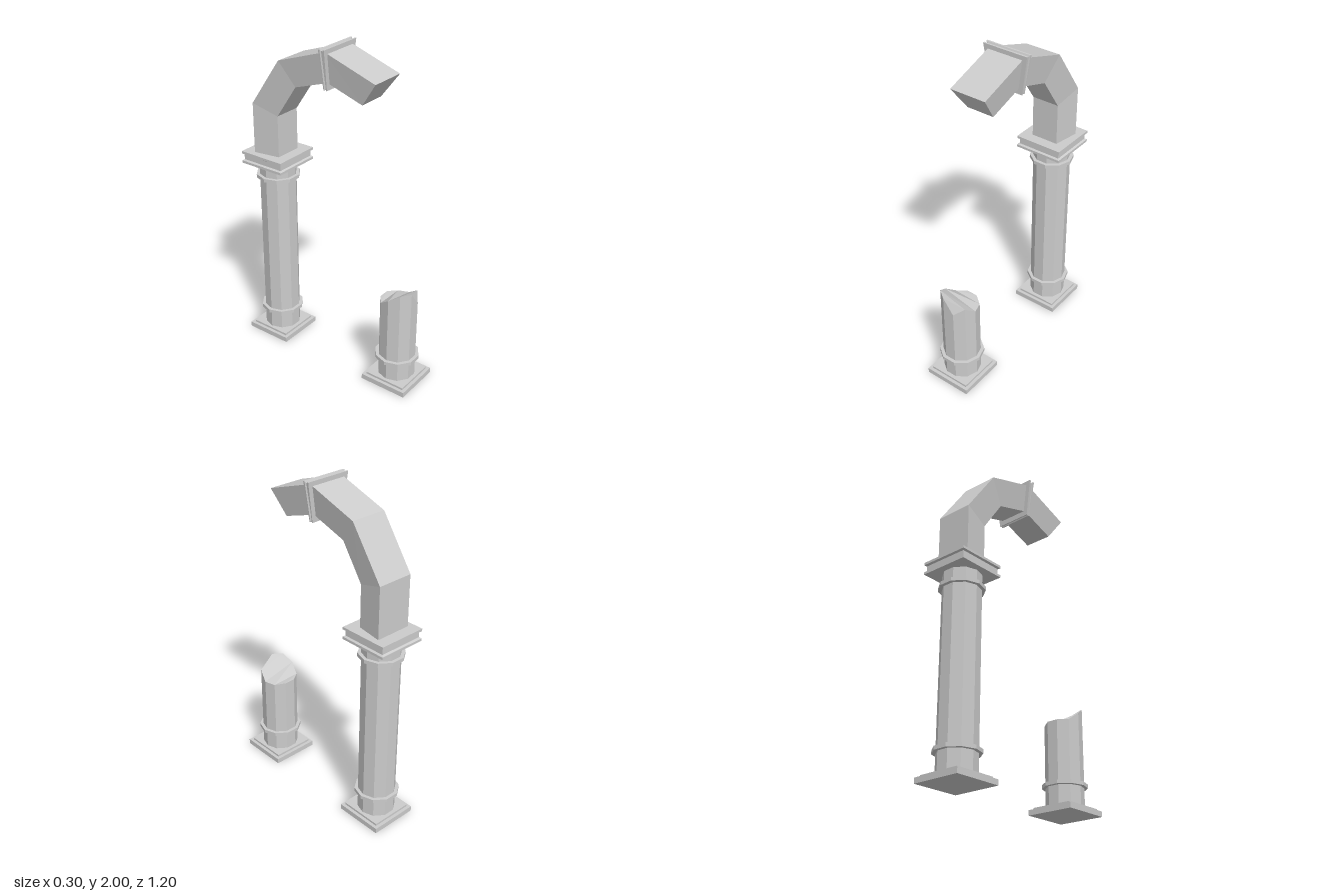
import * as THREE from 'three';

const material = new THREE.MeshStandardMaterial({ color: 0xcccccc, flatShading: true });
const SHAFT_R = 0.113, RING_R = 0.134, COLUMN_Z = 0.45;

// Skins a list of equal-length point loops (counter-clockwise about the direction of travel).
// capTop may supply index triples for the last loop; otherwise both ends get fans.
function loft(name, loops, capTop) {
  const pos = [];
  const tri = (...pts) => pts.forEach(p => pos.push(...p));
  const n = loops[0].length;
  for (let s = 0; s + 1 < loops.length; s++) {
    const A = loops[s], B = loops[s + 1];
    for (let i = 0; i < n; i++) {
      const j = (i + 1) % n;
      tri(A[i], A[j], B[j]);
      tri(A[i], B[j], B[i]);
    }
  }
  const first = loops[0], last = loops[loops.length - 1];
  for (let i = 1; i + 1 < n; i++) {
    tri(first[0], first[i + 1], first[i]);
    if (!capTop) tri(last[0], last[i], last[i + 1]);
  }
  if (capTop) capTop.forEach(t => tri(...t.map(k => last[k])));
  const geo = new THREE.BufferGeometry();
  geo.setAttribute('position', new THREE.Float32BufferAttribute(pos, 3));
  geo.computeVertexNormals();
  const mesh = new THREE.Mesh(geo, material);
  mesh.name = name;
  return mesh;
}

// Ten-sided loop; y may vary per corner
function decagon(r, y) {
  return Array.from({ length: 10 }, (_, k) => {
    const a = k * Math.PI / 5;
    return [r * Math.cos(a), Array.isArray(y) ? y[k] : y, -r * Math.sin(a)];
  });
}

const square = (h, y) => [[h, y, h], [h, y, -h], [-h, y, -h], [-h, y, h]];

function slab(name, half, y0, y1) {
  return loft(name, [square(half, y0), square(half, y1)]);
}

function ring(name, y0, y1) {
  return loft(name, [decagon(RING_R, y0), decagon(RING_R, y1)]);
}

// Stepped square base and lower ring, shared by both columns
function columnBase() {
  const g = new THREE.Group();
  g.name = 'columnBase';
  g.add(slab('plinth', 0.15, 0, 0.032));
  g.add(slab('plinthStep', 0.13, 0.032, 0.045));
  g.add(ring('lowerRing', 0.16, 0.182));
  return g;
}

function tallColumn() {
  const g = new THREE.Group();
  g.name = 'tallColumn';
  g.add(columnBase());
  g.add(loft('shaft', [decagon(SHAFT_R, 0.045), decagon(SHAFT_R, 1.19)]));
  g.add(ring('upperRing', 1.096, 1.118));
  // capital with a groove around its waist
  const profile = [[0.151, 1.19], [0.151, 1.205], [0.14, 1.212], [0.14, 1.243], [0.151, 1.25], [0.151, 1.265]];
  g.add(loft('capital', profile.map(([h, y]) => square(h, y))));
  g.position.z = -COLUMN_Z;
  return g;
}

function brokenColumn() {
  const g = new THREE.Group();
  g.name = 'brokenColumn';
  g.add(columnBase());
  const breakHeights = [0.545, 0.542, 0.55, 0.55, 0.55, 0.60, 0.645, 0.645, 0.55, 0.595];
  // the fracture runs across in strips from front to back
  const cap = [];
  for (let i = 0; i < 4; i++) {
    const r0 = (8 + i) % 10, r1 = (9 + i) % 10, l0 = 7 - i, l1 = 6 - i;
    cap.push([l0, r0, r1], [l0, r1, l1]);
  }
  g.add(loft('brokenShaft', [decagon(SHAFT_R, 0.045), decagon(SHAFT_R, breakHeights)], cap));
  g.position.z = COLUMN_Z;
  return g;
}

// Arch: a beam wider on its outer face, mitred at each joint
function archBeam() {
  const outer = [[-0.53, 1.26], [-0.53, 1.575], [-0.325, 1.87], [0, 1.98], [0.33, 1.87]];
  const inner = [[-0.366, 1.26], [-0.366, 1.522], [-0.227, 1.728], [0, 1.802], [0.23, 1.728]];
  const wo = 0.113, wi = 0.086;
  return loft('archBeam', outer.map(([zo, yo], i) => {
    const [zi, yi] = inner[i];
    return [[wi, yi, zi], [wo, yo, zo], [-wo, yo, zo], [-wi, yi, zi]];
  }));
}

// Keystone: tapered collar with a groove around its edge, thinner at the bottom
function keystone() {
  const profile = [[-1, 0], [-0.5, 0], [-0.3, 0.009], [0.3, 0.009], [0.5, 0], [1, 0]];
  return loft('keystone', profile.map(([t, inset]) => {
    const top = 2 - inset, bottom = 1.765 + inset;
    const wt = 0.143 - inset, wb = 0.108 - inset;
    const zt = 0.02 * t, zb = 0.012 * t;
    return [[wb, bottom, zb], [wt, top, zt], [-wt, top, zt], [-wb, bottom, zb]];
  }));
}

export function createModel() {
  const model = new THREE.Group();
  model.name = 'ruinedArch';
  model.add(tallColumn(), brokenColumn(), archBeam(), keystone());
  return model;
}
